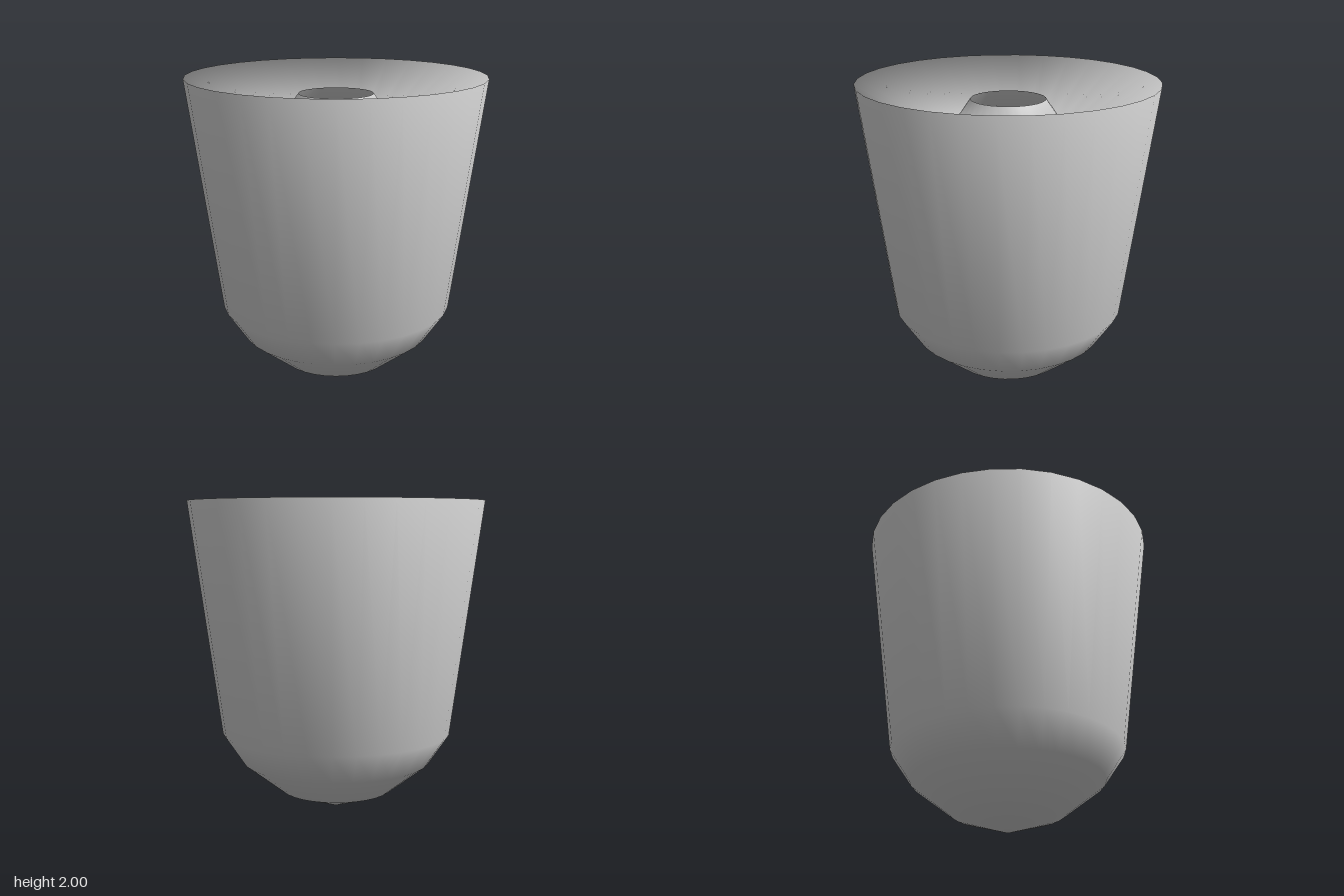
import * as THREE from 'three';
import { mergeVertices } from 'three/addons/utils/BufferGeometryUtils.js';

// One thin turned sheet, smooth across every edge
function turnedShell(profile, sides) {
  const points = profile.map(([r, y]) => new THREE.Vector2(r, y));
  const lathe = new THREE.LatheGeometry(points, sides);
  lathe.deleteAttribute('normal');
  lathe.deleteAttribute('uv');
  const geometry = mergeVertices(lathe, 1e-4);
  geometry.computeVertexNormals();
  return geometry;
}

export function createModel() {
  const group = new THREE.Group();
  group.name = 'taperedVessel';

  const profile = [
    // rounded, pointed base
    [0, 0], [0.36, 0.125], [0.61, 0.32], [0.74, 0.515],
    // flared wall up to the rim
    [0.94, 2],
    // sunken top, then the raised collar with an open mouth
    [0.4, 1.65], [0.235, 1.89],
  ];

  const shell = new THREE.Mesh(
    turnedShell(profile, 32),
    new THREE.MeshStandardMaterial({ color: 0xcccccc, side: THREE.DoubleSide })
  );
  shell.name = 'vesselShell';
  group.add(shell);
  return group;
}
